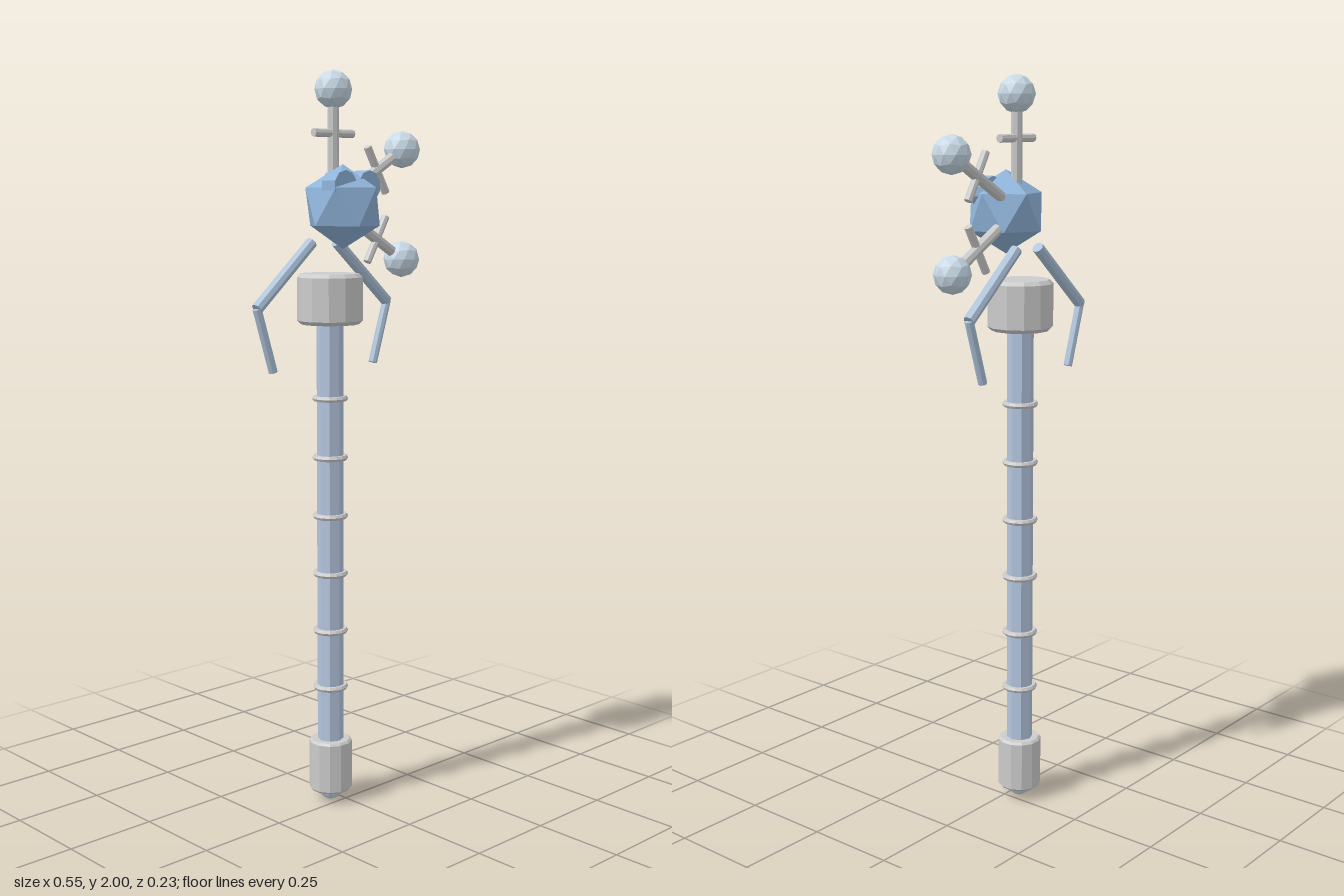
import * as THREE from 'three';

const paint = (color) => new THREE.MeshStandardMaterial({ color, flatShading: true });
const SHAFT = paint(0xb4c6de), CRYSTAL = paint(0x8fb4da), ORB = paint(0xc8d9e6);
const METAL = paint(0xd2ced0), LIMB = paint(0xaec4dc);

// Centre line of the staff
const AX = -0.03, AZ = -0.03;
const V = (x, y, z) => new THREE.Vector3(x, y, z);

function add(parent, name, geometry, material, x = 0, y = 0, z = 0) {
  const mesh = new THREE.Mesh(geometry, material);
  mesh.name = name;
  mesh.position.set(x, y, z);
  parent.add(mesh);
  return mesh;
}

// Straight rod between two points
function rod(parent, name, a, b, radius, material, sides = 8) {
  const dir = b.clone().sub(a);
  const mesh = add(parent, name, new THREE.CylinderGeometry(radius, radius, dir.length(), sides), material);
  mesh.position.copy(a).add(b).multiplyScalar(0.5);
  mesh.quaternion.setFromUnitVectors(V(0, 1, 0), dir.normalize());
  return mesh;
}

// Faceted ball with a corner pointing straight up
function facetBall(radius, detail) {
  return new THREE.IcosahedronGeometry(radius, detail)
    .rotateX(-Math.atan2((1 + Math.sqrt(5)) / 2, 1))
    .rotateY(Math.PI / 2);
}

// Twelve-sided drum with bevelled rims
function drum(radius, y0, y1, bevel) {
  const points = [[0, y0], [radius - bevel, y0], [radius, y0 + bevel],
    [radius, y1 - bevel], [radius - bevel, y1], [0, y1]];
  return new THREE.LatheGeometry(points.map(([r, y]) => new THREE.Vector2(r, y)), 12)
    .rotateY(Math.PI / 12);
}

export function createModel() {
  const model = new THREE.Group();
  model.name = 'staff';

  // Handle with its grip rings
  add(model, 'shaft', new THREE.CylinderGeometry(0.036, 0.036, 1.22, 8), SHAFT, AX, 0.76, AZ);
  for (let i = 0; i < 6; i++) {
    const ring = new THREE.TorusGeometry(0.041, 0.008, 6, 16).rotateX(Math.PI / 2);
    add(model, 'gripRing', ring, METAL, AX, 0.332 + i * 0.1616, AZ);
  }

  // Pommel, its rounded tip and the collar at the top of the handle
  add(model, 'pommel', drum(0.06, 0.033, 0.18, 0.006), METAL, AX, 0, AZ);
  add(model, 'pommelTip', new THREE.SphereGeometry(0.035, 10, 8), ORB, AX, 0.036, AZ);
  add(model, 'collar', drum(0.088, 1.34, 1.475, 0.01), METAL, AX, 0, AZ);

  // Crystal head with two short round studs
  add(model, 'crystalHead', facetBall(0.11, 0), CRYSTAL, AX, 1.65, 0.02);
  for (const side of [-1, 1]) {
    const stud = new THREE.CylinderGeometry(0.04, 0.04, 0.05, 10).rotateX(Math.PI / 2);
    add(model, 'stud', stud, CRYSTAL, AX + side * 0.043, 1.704, 0.052);
  }

  // Three spokes fanning from the head, each with a crossbar and an orb
  for (const degrees of [90, 30, -30]) {
    const spoke = new THREE.Group();
    spoke.name = 'spoke';
    spoke.position.set(AX, 1.655, -0.016);
    spoke.rotation.z = THREE.MathUtils.degToRad(degrees - 90);
    rod(spoke, 'spokeRod', V(0, 0, 0), V(0, 0.27, 0), 0.015, METAL);
    rod(spoke, 'crossbar', V(-0.07, 0.185, 0), V(0.07, 0.185, 0), 0.011, METAL);
    const orb = add(spoke, 'orb', facetBall(0.05, 1), ORB, 0, 0.297, 0);
    orb.rotation.z = -spoke.rotation.z;
    model.add(spoke);
  }

  // Bent arms hanging at both sides
  for (const side of [-1, 1]) {
    const shoulder = V(AX + side * 0.045, 1.557, -0.052);
    const elbow = V(AX + side * 0.236, 1.39, -0.052);
    const hand = V(AX + side * 0.183, 1.222, -0.052);
    rod(model, 'upperArm', shoulder, elbow, 0.016, LIMB);
    rod(model, 'forearm', elbow, hand, 0.012, LIMB);
  }
  return model;
}
